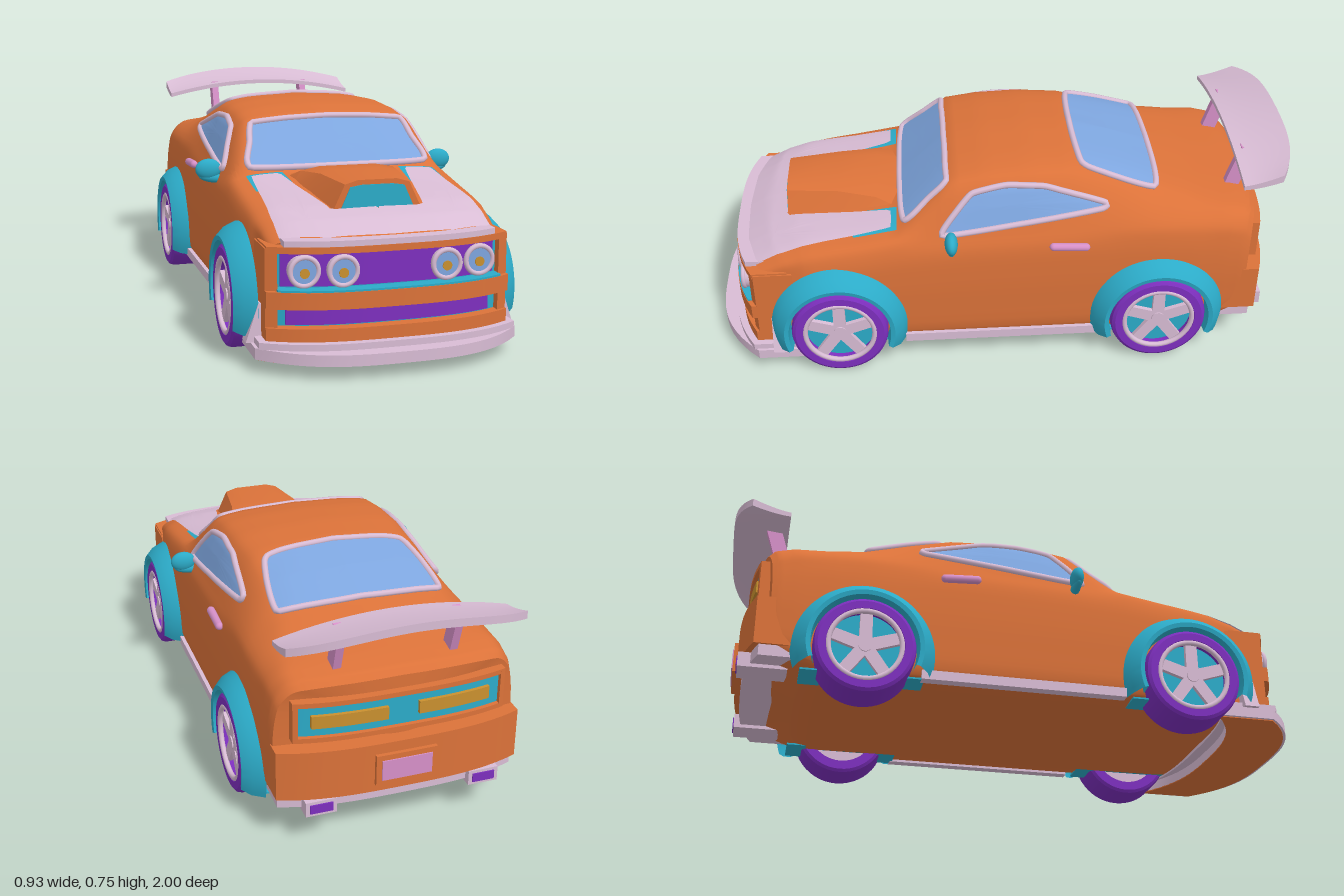
import * as THREE from 'three';
import { toCreasedNormals } from 'three/addons/utils/BufferGeometryUtils.js';

const material = (name, color, side = THREE.FrontSide) => {
  const m = new THREE.MeshStandardMaterial({ color, side });
  m.name = name;
  return m;
};

// Curves the nose and tail in plan, so the corners sweep back
function bend(geo, k) {
  const p = geo.attributes.position;
  for (let i = 0; i < p.count; i++) {
    const z = p.getZ(i);
    const ramp = THREE.MathUtils.smoothstep(Math.abs(z), 0.55, 0.85);
    const amount = k ?? (z > 0 ? 0.08 : 0.05);
    p.setZ(i, z - Math.sign(z) * amount * ramp * Math.abs(p.getX(i) / 0.4) ** 3);
  }
  geo.computeVertexNormals();
  return geo;
}

// Skins closed rings of [x, y, z], ordered from front to back, with end caps
function loft(rings) {
  const n = rings[0].length, pos = rings.flat(2), index = [];
  for (let i = 0; i < rings.length - 1; i++) for (let j = 0; j < n; j++) {
    const a = i * n + j, b = i * n + (j + 1) % n;
    index.push(a, a + n, b + n, a, b + n, b);
  }
  [0, rings.length - 1].forEach((r, end) => {
    const c = pos.length / 3, mid = [0, 1, 2].map(k => rings[r].reduce((s, p) => s + p[k], 0) / n);
    pos.push(...mid);
    for (let j = 0; j < n; j++) {
      const a = r * n + j, b = r * n + (j + 1) % n;
      index.push(c, ...(end ? [b, a] : [a, b]));
    }
  });
  const geo = new THREE.BufferGeometry();
  geo.setAttribute('position', new THREE.Float32BufferAttribute(pos, 3));
  geo.setIndex(index);
  geo.computeVertexNormals();
  return geo;
}

function mirror(geo) {
  const g = geo.clone().scale(-1, 1, 1);
  g.setIndex(Array.from(geo.index.array).reverse());
  return g;
}

// Body stations: z, half width, shoulder x and y, roof edge x and y, centre height
const STATIONS = [
  [0.88, 0.375, 0.365, 0.375, 0.34, 0.39, 0.40], [0.80, 0.385, 0.37, 0.41, 0.335, 0.428, 0.44],
  [0.70, 0.40, 0.375, 0.435, 0.33, 0.455, 0.465], [0.50, 0.405, 0.375, 0.465, 0.33, 0.48, 0.492],
  [0.345, 0.405, 0.375, 0.49, 0.335, 0.505, 0.518], [0.16, 0.405, 0.375, 0.505, 0.30, 0.655, 0.69],
  [0.05, 0.405, 0.375, 0.51, 0.30, 0.67, 0.71], [-0.10, 0.405, 0.375, 0.515, 0.30, 0.675, 0.72],
  [-0.25, 0.405, 0.375, 0.52, 0.29, 0.67, 0.715], [-0.40, 0.405, 0.38, 0.52, 0.29, 0.635, 0.675],
  [-0.55, 0.41, 0.385, 0.52, 0.30, 0.59, 0.625], [-0.68, 0.41, 0.385, 0.515, 0.33, 0.56, 0.59],
  [-0.82, 0.405, 0.385, 0.505, 0.345, 0.545, 0.565], [-0.88, 0.40, 0.38, 0.49, 0.345, 0.53, 0.55],
  [-0.90, 0.395, 0.375, 0.47, 0.34, 0.51, 0.53],
];

function bodySection([z, w, xs, ys, xe, ye, yt]) {
  const yb = 0.09 + Math.max(0, -0.7 - z) * 0.3, h = ys - yb;
  const half = new THREE.CatmullRomCurve3([
    [0, yb], [w - 0.04, yb], [w - 0.012, yb + 0.015], [w, yb + h * 0.35], [w, yb + h * 0.65],
    [w - 0.008, yb + h * 0.87], [xs, ys], [xe, ye], [xe - 0.06, ye + 0.6 * (yt - ye)], [0, yt],
  ].map(([x, y]) => new THREE.Vector3(x, y, z))).getPoints(36).map(p => p.toArray());
  return [...half, ...half.slice(1, -1).reverse().map(([x, y]) => [-x, y, z])];
}

export function createModel() {
  const car = new THREE.Group();
  car.name = 'sportsCar';
  const orange = material('orange paint', 0xdb7239), pale = material('pale trim', 0xd8bcd4, THREE.DoubleSide);
  const pink = material('pink fittings', 0xd690c8), teal = material('teal trim', 0x2cabc8, THREE.DoubleSide);
  const glass = material('blue glass', 0x7ea6df, THREE.DoubleSide), purple = material('purple rubber', 0x7d2fbe);
  const amber = material('amber lamp', 0xc9902f);

  const add = (name, geo, mat, x = 0, y = 0, z = 0, parent = car) => {
    const m = new THREE.Mesh(geo, mat);
    m.name = name;
    m.position.set(x, y, z);
    parent.add(m);
    return m;
  };
  const box = (name, mat, x0, x1, y0, y1, z0, z1, k) => add(name, bend(
    new THREE.BoxGeometry(x1 - x0, y1 - y0, z1 - z0, 24, 1, 4)
      .translate((x0 + x1) / 2, (y0 + y1) / 2, (z0 + z1) / 2), k), mat);

  // Main body shell
  const rings = [];
  STATIONS.forEach((s, i) => {
    const next = STATIONS[i + 1];
    for (let k = 0; k < (next ? 4 : 1); k++) {
      rings.push(bodySection(next ? s.map((v, j) => v + (next[j] - v) * k / 4) : s));
    }
  });
  const body = add('body', toCreasedNormals(bend(loft(rings)), 0.6), orange);
  body.updateMatrixWorld(true);

  // Projects a flat outline onto the body along one axis
  const ray = new THREE.Raycaster();
  const aims = {
    front: (a, b) => [new THREE.Vector3(a, b, 2), new THREE.Vector3(0, 0, -1)],
    top: (a, b) => [new THREE.Vector3(a, 2, b), new THREE.Vector3(0, -1, 0)],
    side: (a, b) => [new THREE.Vector3(2, b, a), new THREE.Vector3(-1, 0, 0)],
  };
  const project = (aim, a, b, lift) => {
    const [from, dir] = aims[aim](a, b);
    ray.set(from, dir);
    const hit = ray.intersectObject(body)[0];
    return hit ? hit.point.addScaledVector(hit.face.normal, lift) : from.addScaledVector(dir, 1.6);
  };
  const drape = (aim, corners, centre, lift, tension = 0.2) => {
    const n = 72, steps = 7, pos = [], index = [];
    const curve = new THREE.CatmullRomCurve3(corners.map(([a, b]) => new THREE.Vector3(a, b, 0)), true, 'catmullrom', tension);
    const outline = curve.getSpacedPoints(n).slice(0, n);
    for (let r = 0; r <= steps; r++) for (const p of outline) {
      const t = r / steps;
      pos.push(...project(aim, centre[0] + (p.x - centre[0]) * t, centre[1] + (p.y - centre[1]) * t, lift).toArray());
    }
    for (let r = 0; r < steps; r++) for (let j = 0; j < n; j++) {
      const a = r * n + j, b = r * n + (j + 1) % n;
      index.push(a, a + n, b + n, a, b + n, b);
    }
    const fill = new THREE.BufferGeometry();
    fill.setAttribute('position', new THREE.Float32BufferAttribute(pos, 3));
    fill.setIndex(index);
    fill.computeVertexNormals();
    const edge = outline.map(p => project(aim, p.x, p.y, lift));
    const frame = new THREE.TubeGeometry(new THREE.CatmullRomCurve3(edge, true), 120, 0.011, 8, true);
    return { fill, frame };
  };

  // Windows with rounded frames
  const wind = drape('front', [[-0.308, 0.53], [-0.29, 0.6], [-0.27, 0.658], [-0.15, 0.671], [0, 0.676],
    [0.15, 0.671], [0.27, 0.658], [0.29, 0.6], [0.308, 0.53], [0, 0.527]], [0, 0.6], 0.004);
  const back = drape('top', [[-0.275, -0.53], [-0.24, -0.285], [0, -0.265], [0.24, -0.285], [0.275, -0.53], [0, -0.545]], [0, -0.4], 0.004);
  const side = drape('side', [[0.2, 0.51], [0.1, 0.635], [-0.02, 0.66], [-0.15, 0.652], [-0.355, 0.592],
    [-0.34, 0.575], [-0.07, 0.54]], [-0.03, 0.6], 0.004);
  for (const [name, w] of [['windscreen', wind], ['rearWindow', back], ['leftWindow', side],
    ['rightWindow', { fill: mirror(side.fill), frame: mirror(side.frame) }]]) {
    add(name, w.fill, glass);
    add(name + 'Frame', w.frame, pale);
  }

  // Hood panel halves and vents
  const panel = drape('top', [[0, 0.875], [0.2, 0.865], [0.335, 0.825], [0.335, 0.7], [0.315, 0.37], [0.22, 0.37],
    [0.15, 0.73], [0, 0.73]], [0.24, 0.77], 0.007, 0.02).fill;
  const vent = drape('top', [[0.205, 0.35], [0.328, 0.35], [0.328, 0.5], [0.195, 0.5]], [0.265, 0.42], 0.003, 0.02).fill;
  for (const flip of [g => g, mirror]) {
    add('hoodPanel', flip(panel), pale);
    add('hoodVent', flip(vent), teal);
  }
  box('hoodLip', pale, -0.335, 0.335, 0.384, 0.404, 0.84, 0.916);

  // Hood scoop: z, base half width, top half width, base y, top y
  const scoop = [[0.73, 0.15, 0.105, 0.44, 0.548], [0.55, 0.175, 0.13, 0.46, 0.553], [0.42, 0.2, 0.16, 0.47, 0.543],
    [0.335, 0.225, 0.19, 0.48, 0.512]].map(([z, b, t, y0, y1]) => [[b, y0, z], [t, y1 - 0.012, z], [t * 0.6, y1, z],
    [-t * 0.6, y1, z], [-t, y1 - 0.012, z], [-b, y0, z]]);
  add('hoodScoop', toCreasedNormals(loft(scoop), 0.6), orange);
  const mouth = new THREE.Shape([[-0.118, 0.46], [0.118, 0.46], [0.088, 0.527], [0.05, 0.533], [-0.05, 0.533], [-0.088, 0.527]]
    .map(p => new THREE.Vector2(...p)));
  add('scoopMouth', new THREE.ExtrudeGeometry(mouth, { depth: 0.004, bevelEnabled: false }), teal, 0, 0, 0.729);

  // Nose: bars around a recessed grille and a lower intake
  box('noseLip', orange, -0.383, 0.383, 0.366, 0.386, 0.79, 0.918);
  box('frontBumper', orange, -0.387, 0.387, 0.2, 0.252, 0.78, 0.932);
  box('lowerNose', orange, -0.387, 0.387, 0.09, 0.14, 0.78, 0.925);
  for (const s of [-1, 1]) box('noseCorner', orange, s * 0.37 - 0.017, s * 0.37 + 0.017, 0.09, 0.38, 0.77, 0.915);
  box('grilleSill', teal, -0.355, 0.355, 0.25, 0.258, 0.84, 0.93);
  box('grilleSurround', teal, -0.356, 0.356, 0.25, 0.368, 0.87, 0.886);
  box('grille', purple, -0.34, 0.34, 0.262, 0.366, 0.88, 0.892);
  box('intakeSurround', teal, -0.356, 0.356, 0.138, 0.202, 0.87, 0.886);
  box('intake', purple, -0.325, 0.325, 0.144, 0.198, 0.88, 0.892);
  for (const x of [-0.277, -0.163, 0.163, 0.277]) {
    const z = 0.912 - 0.08 * Math.abs(x / 0.4) ** 3;
    const disc = (r, d) => new THREE.CylinderGeometry(r, r, d, 32).rotateX(Math.PI / 2);
    add('headlightRing', new THREE.TorusGeometry(0.043, 0.008, 10, 36), pale, x, 0.312, z);
    add('headlightCup', disc(0.046, 0.04), pale, x, 0.312, z - 0.022);
    add('headlightLens', disc(0.036, 0.006), glass, x, 0.312, z);
    add('headlightBulb', disc(0.015, 0.006), amber, x, 0.307, z + 0.003);
  }

  // Front splitter and the wedges ahead of the wheels
  box('splitter', pale, -0.42, 0.42, 0.045, 0.08, 0.77, 1, 0.13);
  box('splitterBase', orange, -0.41, 0.41, 0.042, 0.046, 0.77, 0.99, 0.13);
  box('splitterSkirt', pale, -0.41, 0.41, 0.078, 0.1, 0.73, 0.95);
  for (const s of [-1, 1]) {
    const wedge = new THREE.Shape([[0.37, 0.08], [0.435, 0.08], [0.395, 0.2], [0.37, 0.2]].map(([x, y]) => new THREE.Vector2(s * x, y)));
    add('splitterWedge', new THREE.ExtrudeGeometry(wedge, { depth: 0.05, bevelEnabled: false }), pale, 0, 0, 0.745);
  }

  // Wheels, arches and wells
  const lathe = (pts, start = 0, length = Math.PI * 2) => new THREE.LatheGeometry(
    pts.map(p => new THREE.Vector2(...p)), 48, start, length).rotateZ(-Math.PI / 2);
  const archGeo = toCreasedNormals(lathe([[0.236, 0.395], [0.218, 0.435], [0.19, 0.463], [0.175, 0.46], [0.17, 0.39]],
    Math.PI - 0.35, Math.PI + 0.7), 0.7);
  const tyreGeo = toCreasedNormals(lathe([[0.12, 0.31], [0.152, 0.31], [0.162, 0.317], [0.166, 0.33], [0.166, 0.436],
    [0.162, 0.449], [0.152, 0.456], [0.127, 0.456], [0.12, 0.44], [0.12, 0.412]]), 0.6);
  const star = new THREE.Shape();
  for (let i = 0; i < 5; i++) {
    const a = i * Math.PI * 0.4 + Math.PI / 2;
    for (const [r, d] of [[0.118, -0.17], [0.118, 0.17], [0.036, Math.PI / 5]]) {
      star[i || d !== -0.17 ? 'lineTo' : 'moveTo'](r * Math.cos(a + d), r * Math.sin(a + d));
    }
  }
  const starGeo = new THREE.ExtrudeGeometry(star, { depth: 0.016, bevelEnabled: false }).rotateY(Math.PI / 2);
  const plug = (r, d) => new THREE.CylinderGeometry(r, r, d, 36).rotateZ(Math.PI / 2);
  for (const z of [0.56, -0.545]) for (const turn of [0, Math.PI]) {
    const corner = new THREE.Group();
    corner.name = (z > 0 ? 'front' : 'rear') + (turn ? 'Right' : 'Left') + 'Wheel';
    corner.position.set(0, 0.168, z);
    corner.rotation.y = turn;
    car.add(corner);
    add('wheelArch', archGeo, teal, 0, 0, 0, corner);
    add('tyre', tyreGeo, purple, 0, 0, 0, corner);
    add('rim', new THREE.TorusGeometry(0.119, 0.009, 10, 40).rotateY(Math.PI / 2), pale, 0.449, 0, 0, corner);
    add('spokes', starGeo, pale, 0.427, 0, 0, corner);
    add('hub', plug(0.022, 0.02), pale, 0.437, 0, 0, corner);
    add('wheelBack', plug(0.121, 0.006), teal, 0.414, 0, 0, corner);
    add('innerRim', plug(0.121, 0.006), pale, 0.318, 0, 0, corner);
    add('wheelWell', new THREE.BoxGeometry(0.12, 0.006, 0.4), teal, 0.34, -0.08, 0, corner);
  }

  // Sills, door handles, mirrors, wing posts and exhausts
  for (const s of [-1, 1]) {
    add('sill', new THREE.BoxGeometry(0.035, 0.032, 0.69), pale, s * 0.393, 0.1, -0.01);
    add('doorHandle', new THREE.CapsuleGeometry(0.014, 0.11, 6, 12).rotateX(Math.PI / 2 - 0.06), pink, s * 0.406, 0.464, -0.23);
    add('mirror', new THREE.SphereGeometry(1, 24, 16).scale(0.045, 0.036, 0.022), teal, s * 0.42, 0.507, 0.17);
    add('mirrorArm', new THREE.SphereGeometry(1, 16, 12).scale(0.05, 0.018, 0.016), teal, s * 0.405, 0.478, 0.17).rotation.z = s * 0.15;
    add('wingPost', new THREE.BoxGeometry(0.026, 0.16, 0.05), pink, s * 0.19, 0.622, -0.838).rotation.x = -0.3;
    add('exhaustTip', new THREE.BoxGeometry(0.1, 0.05, 0.16), pale, s * 0.27, 0.138, -0.86);
    add('exhaustBore', new THREE.BoxGeometry(0.074, 0.03, 0.006), purple, s * 0.27, 0.138, -0.941);
    box('tailLamp', amber, s * 0.17 - 0.12, s * 0.17 + 0.12, 0.398, 0.44, -0.922, -0.9);
  }

  // Arched rear wing
  const wing = new THREE.BoxGeometry(0.76, 0.022, 1, 28, 1, 6), wp = wing.attributes.position;
  for (let i = 0; i < wp.count; i++) {
    const u = Math.abs(wp.getX(i) / 0.38), s = 0.5 - wp.getZ(i);
    wp.setY(i, wp.getY(i) * (0.7 + 0.5 * s) + 0.705 + 0.032 * s ** 1.5 - 0.048 * u * u);
    wp.setZ(i, -0.81 - 0.19 * s * (1 - 0.32 * u ** 4));
  }
  wing.computeVertexNormals();
  add('rearWing', wing, pale);

  // Tail: lamp panel, bumper, valance and plate
  box('tailPanel', teal, -0.33, 0.33, 0.365, 0.475, -0.91, -0.88);
  for (const [y0, y1] of [[0.352, 0.368], [0.472, 0.488]]) box('tailFrame', orange, -0.345, 0.345, y0, y1, -0.925, -0.87);
  for (const s of [-1, 1]) box('tailFrameEnd', orange, s * 0.338 - 0.008, s * 0.338 + 0.008, 0.352, 0.488, -0.925, -0.87);
  box('rearBumper', orange, -0.4, 0.4, 0.163, 0.33, -0.945, -0.8);
  box('rearValance', pale, -0.392, 0.392, 0.125, 0.165, -0.925, -0.77);
  box('plateFrame', orange, -0.1, 0.1, 0.19, 0.295, -0.958, -0.94);
  box('plate', pink, -0.082, 0.082, 0.208, 0.277, -0.962, -0.955);
  return car;
}
